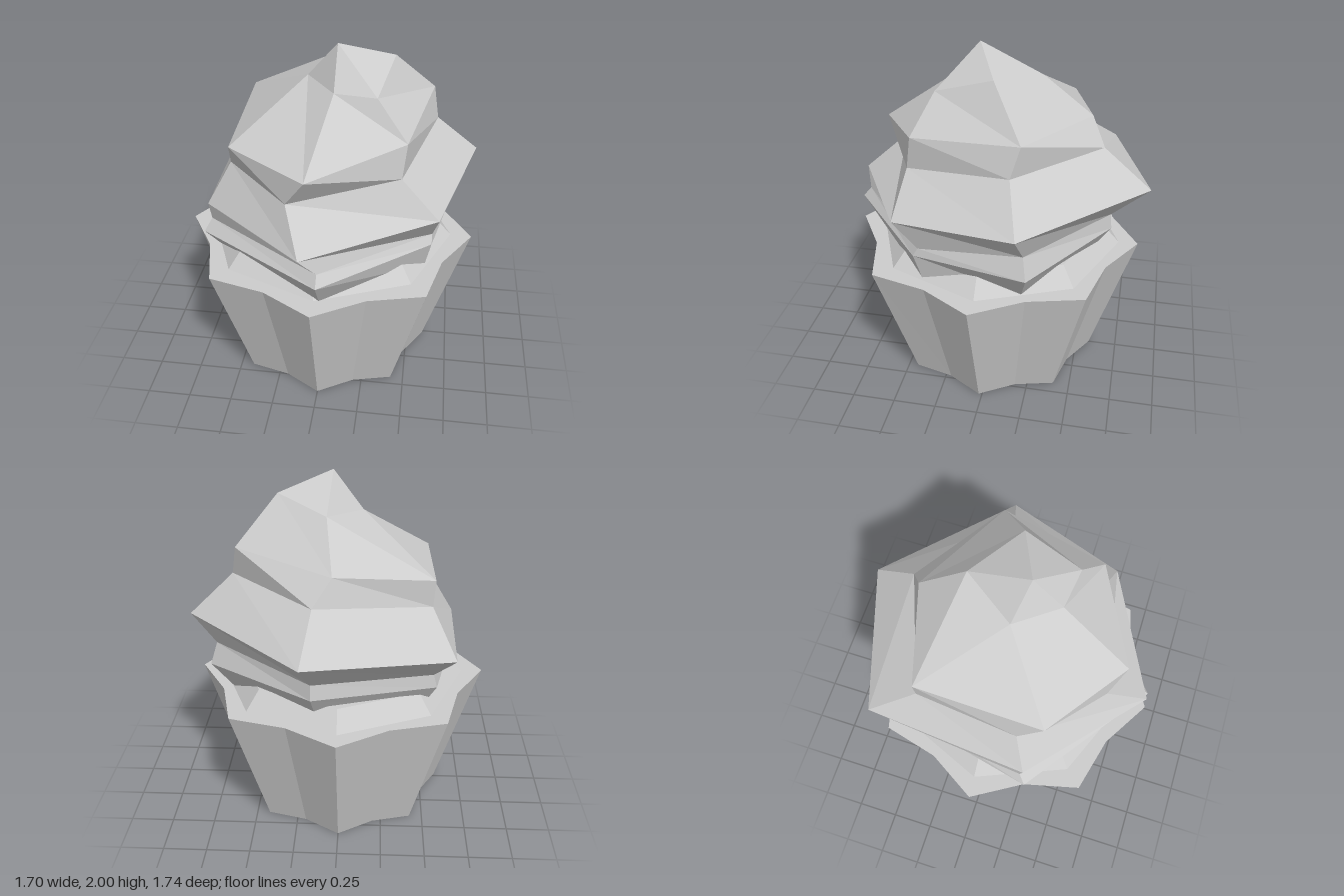
import * as THREE from 'three';

// Flat-shaded skin over rings of points (top ring first, each ring counterclockwise seen from above)
function loft(rings, capTop, capBottom) {
  const n = rings[0].length, pos = [];
  const tri = (a, b, c) => pos.push(...a, ...b, ...c);
  for (let r = 0; r < rings.length - 1; r++) {
    for (let i = 0; i < n; i++) {
      const j = (i + 1) % n, t = rings[r], l = rings[r + 1];
      tri(t[i], l[i], l[j]);
      tri(t[i], l[j], t[j]);
    }
  }
  const top = rings[0], low = rings[rings.length - 1];
  for (let i = 0; i < n; i++) {
    const j = (i + 1) % n;
    if (capTop) tri(capTop, top[i], top[j]);
    if (capBottom) tri(capBottom, low[j], low[i]);
  }
  const g = new THREE.BufferGeometry();
  g.setAttribute('position', new THREE.Float32BufferAttribute(pos, 3));
  g.computeVertexNormals();
  return g;
}

// Eight-pointed pleated outline
function pleats(outer, inner, y) {
  return Array.from({ length: 16 }, (_, i) => {
    const a = i * Math.PI / 8, r = i % 2 ? inner : outer;
    return [Math.sin(a) * r, y, Math.cos(a) * r];
  });
}

export function createModel() {
  const group = new THREE.Group();
  const grey = new THREE.MeshStandardMaterial({ color: 0xcccccc, flatShading: true });
  grey.name = 'light grey';
  const add = (name, geometry, y = 0, z = 0) => {
    const m = new THREE.Mesh(geometry, grey);
    m.name = name;
    m.position.set(0, y, z);
    group.add(m);
  };

  // Pleated paper cup
  add('cup', loft([pleats(0.848, 0.735, 0.79), pleats(0.6, 0.52, 0)], [0, 0.79, 0], [0, 0, 0]), 0, 0.02);

  // Cake showing between cup and frosting
  add('cake', new THREE.CylinderGeometry(0.63, 0.73, 0.11, 8), 0.84, 0.01);

  // Swirled frosting: six ridge lines from the tip down, starting at the front and going towards +x
  const ridges = [
    [[0.05, 1.79, 0.27], [-0.05, 1.48, 0.68], [-0.16, 1.31, 0.61], [-0.06, 1.12, 0.84],
      [0.03, 1.02, 0.80], [0.03, 0.96, 0.85], [0.03, 0.79, 0.73]],
    [[0.28, 1.79, 0.30], [0.45, 1.59, 0.40], [0.43, 1.40, 0.43], [0.64, 1.18, 0.47],
      [0.61, 1.01, 0.34], [0.61, 0.96, 0.37], [0.58, 0.79, 0.33]],
    [[0.35, 1.90, -0.03], [0.57, 1.65, -0.21], [0.60, 1.48, -0.16], [0.84, 1.26, -0.23],
      [0.70, 1.09, -0.25], [0.74, 0.96, -0.27], [0.62, 0.79, -0.23]],
    [[0.07, 1.84, -0.25], [0.03, 1.61, -0.52], [0.13, 1.47, -0.60], [0.18, 1.26, -0.87],
      [0.14, 1.06, -0.66], [0.14, 0.97, -0.67], [0.12, 0.79, -0.55]],
    [[-0.12, 1.79, 0.04], [-0.51, 1.54, -0.37], [-0.50, 1.39, -0.37], [-0.62, 1.20, -0.63],
      [-0.52, 1.02, -0.45], [-0.54, 0.94, -0.45], [-0.48, 0.79, -0.37]],
    [[-0.12, 1.79, 0.04], [-0.51, 1.48, 0.35], [-0.54, 1.31, 0.21], [-0.67, 1.07, 0.29],
      [-0.66, 0.96, 0.27], [-0.70, 0.89, 0.31], [-0.63, 0.79, 0.27]],
  ];
  const rings = ridges[0].map((_, r) => ridges.map(ridge => ridge[r]));
  add('frosting', loft(rings, [0.05, 2, 0.10], [0, 0.79, 0]));

  return group;
}
